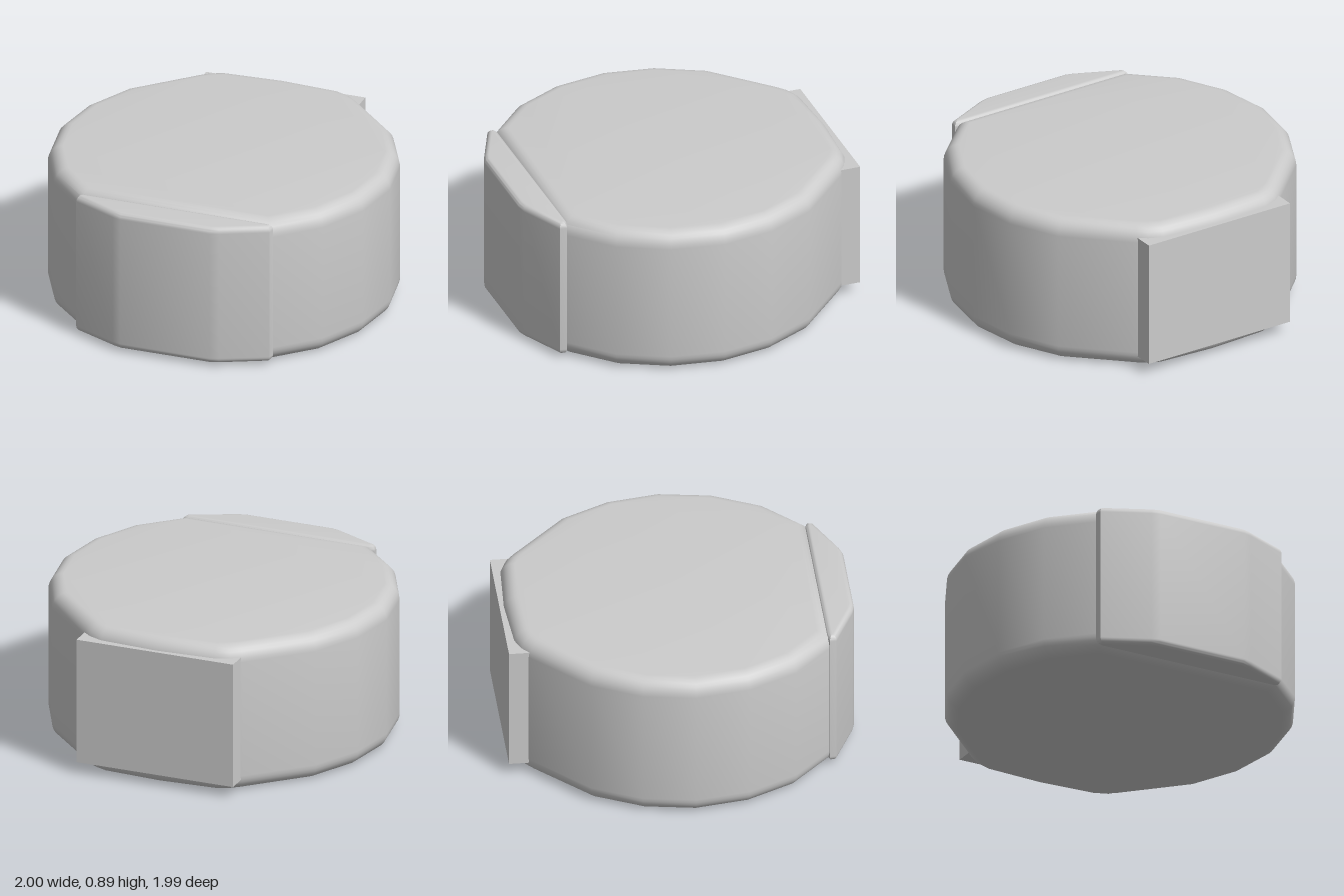
import * as THREE from 'three';
import { toCreasedNormals } from 'three/addons/utils/BufferGeometryUtils.js';

const material = new THREE.MeshStandardMaterial({ color: 0xcccccc });

// Upright prism with rounded rims; half is the +x side of the outline as [x, z], mirrored to -x
function roundedPrism(name, half, y0, y1, inset, rim) {
  const mirrored = half.filter(([x]) => x > 0).reverse().map(([x, z]) => [-x, z]);
  const outline = [...half, ...mirrored].map(([x, z]) => new THREE.Vector2(x, -z));
  const geometry = new THREE.ExtrudeGeometry(new THREE.Shape(outline), {
    depth: y1 - y0 - 2 * rim,
    bevelThickness: rim,
    bevelSize: inset,
    bevelOffset: -inset,
    bevelSegments: 7,
  });
  geometry.rotateX(-Math.PI / 2).translate(0, y0 + rim, 0);
  const mesh = new THREE.Mesh(toCreasedNormals(geometry, 0.6), material);
  mesh.name = name;
  return mesh;
}

export function createModel() {
  const group = new THREE.Group();
  group.name = 'roundCase';

  // Main drum, flat at the front and slightly peaked at the back
  group.add(roundedPrism('body', [
    [0.57, 0.83], [0.81, 0.6], [0.95, 0.32], [1, 0.01], [0.95, -0.29],
    [0.81, -0.57], [0.49, -0.88], [0.435, -0.925], [0.35, -0.96], [0, -0.98],
  ], 0, 0.885, 0.085, 0.095));

  // Faceted panel on the flat front
  group.add(roundedPrism('frontPanel', [
    [0.27, 0.99], [0.32, 0.975], [0.583, 0.855], [0.59, 0.815], [0.555, 0.8],
  ], 0.02, 0.872, 0.03, 0.035));

  // Plain block set into the back
  const block = new THREE.Mesh(new THREE.BoxGeometry(0.96, 0.75, 0.2), material);
  block.name = 'backBlock';
  block.position.set(0, 0.445, -0.9);
  group.add(block);

  return group;
}
